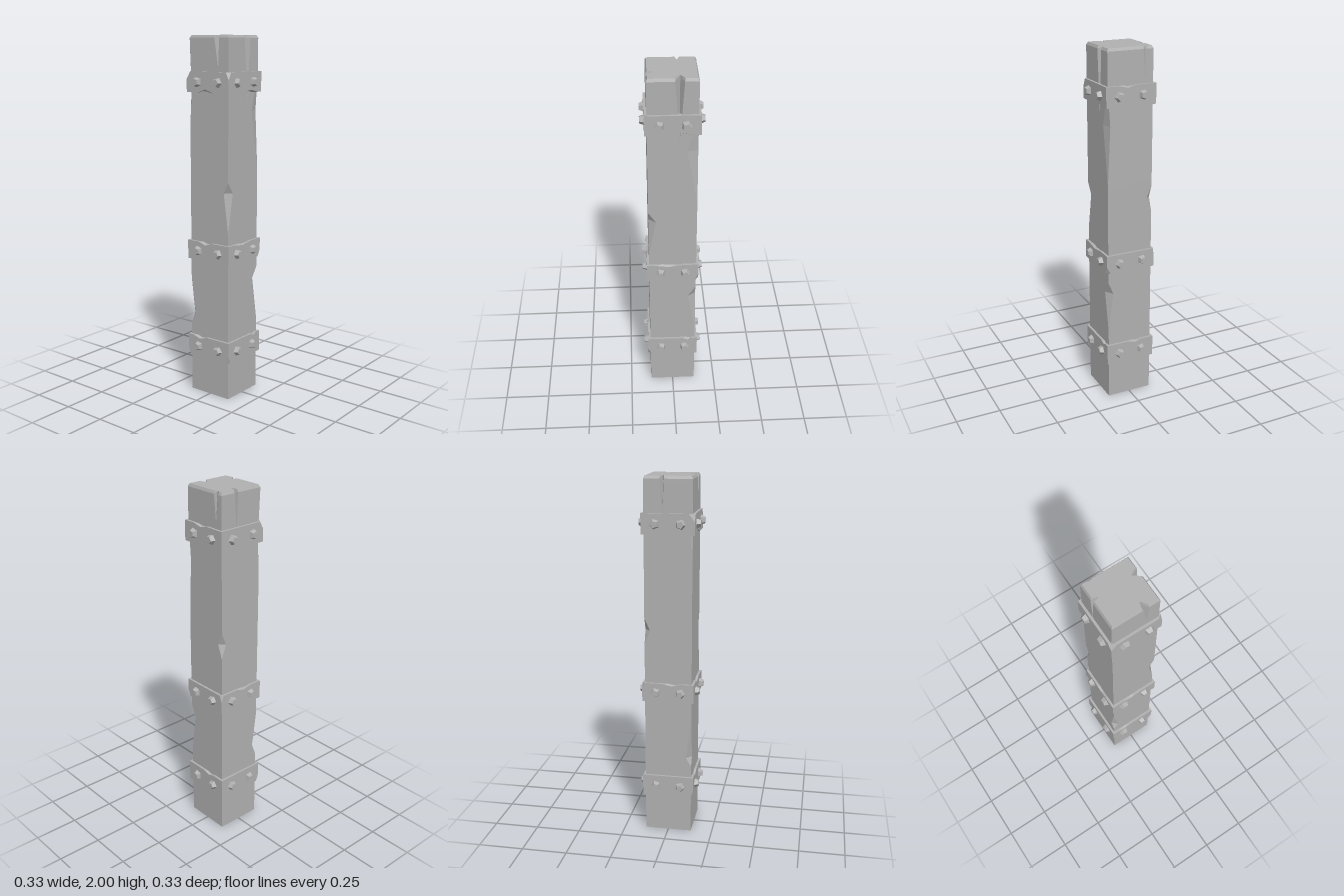
import * as THREE from 'three';

const HALF = 0.13, BAND = 0.143;

// Face k of the square (0 front, 1 +x, 2 back, 3 -x): u runs along it, n points out
const place = (k, u, n, y) => new THREE.Vector3(
  [u, n, -u, -n][k], y, [n, -u, -n, u][k]);

// Corner chips: corner after face k, low / deepest / high y, cut on face k, cut on the next face
const chips = [
  [0, 0.95, 1.17, 1.23, 0.03, 0.04],
  [1, 0.42, 0.65, 0.72, 0.045, 0.03],
  [1, 1.28, 1.6, 1.82, 0.055, 0.015],
  [2, 1.1, 1.18, 1.25, 0.03, 0.03],
  [3, 0.4, 0.45, 0.67, 0.03, 0.03],
  [3, 1.53, 1.72, 1.97, 0.012, 0.012],
];

// One split in the top of each face: mouth from / to, tip, depth, lower end
const cracks = [
  { a: 0.035, b: 0.07, tip: 0.043, depth: 0.042, y: 1.83, u: 0.063 },
  { a: 0.01, b: 0.06, tip: 0.038, depth: 0.045, y: 1.66, u: 0.035 },
  { a: 0.07, b: 0.105, tip: 0.088, depth: 0.012, y: 1.84, u: 0.088 },
  { a: -0.045, b: -0.02, tip: -0.03, depth: 0.04, y: 1.79, u: -0.03 },
];

// Bands: nicks are [face, top edge?, u, half width, depth]; corners are [corner, top edge?, size]
const bands = [
  { y0: 0.215, y1: 0.335,
    nicks: [[0, 1, -0.06, 0.05, 0.016], [1, 1, 0.09, 0.03, 0.012], [2, 1, 0.03, 0.04, 0.012]],
    corners: [[0, 0, 0.018], [3, 0, 0.015]] },
  { y0: 0.78, y1: 0.885,
    nicks: [[0, 1, -0.02, 0.045, 0.016], [1, 1, -0.02, 0.08, 0.012], [3, 1, 0.02, 0.05, 0.012]],
    corners: [[1, 0, 0.02], [2, 1, 0.015]] },
  { y0: 1.7, y1: 1.81,
    nicks: [[0, 0, -0.015, 0.05, 0.018], [1, 0, 0.05, 0.08, 0.014], [2, 1, -0.02, 0.05, 0.012]],
    corners: [[0, 1, 0.02], [3, 1, 0.03]] },
];

// Joins matching rings of points into faceted walls, with fan caps or as a closed loop
function loft(rings, capped) {
  const pos = [];
  const tri = (a, b, c) => {
    const area = b.clone().sub(a).cross(c.clone().sub(a)).length();
    if (area > 1e-9) for (const p of [a, b, c]) pos.push(p.x, p.y, p.z);
  };
  const count = rings[0].length;
  const walls = capped ? rings.length - 1 : rings.length;
  for (let r = 0; r < walls; r++) {
    const lo = rings[r], hi = rings[(r + 1) % rings.length];
    for (let i = 0; i < count; i++) {
      const j = (i + 1) % count;
      tri(lo[i], lo[j], hi[j]);
      tri(lo[i], hi[j], hi[i]);
    }
  }
  if (capped) {
    const bottom = rings[0], top = rings[rings.length - 1];
    const cb = new THREE.Vector3(0, bottom[0].y, 0), ct = new THREE.Vector3(0, top[0].y, 0);
    for (let i = 0; i < count; i++) {
      const j = (i + 1) % count;
      tri(cb, bottom[j], bottom[i]);
      tri(ct, top[i], top[j]);
    }
  }
  const g = new THREE.BufferGeometry();
  g.setAttribute('position', new THREE.Float32BufferAttribute(pos, 3));
  g.computeVertexNormals();
  return g;
}

// Cross-section of the post at height y
function postRing(y) {
  const half = y > 1.985 ? HALF - 0.007 * (y - 1.985) / 0.015 : HALF;
  const cut = (k, side) => {
    let c = 0;
    for (const [corner, lo, mid, hi, a, b] of chips) {
      if (corner !== k || y <= lo || y >= hi) continue;
      c += (side ? b : a) * (y < mid ? (y - lo) / (mid - lo) : (hi - y) / (hi - mid));
    }
    return c;
  };
  const ring = [];
  for (let k = 0; k < 4; k++) {
    const s = cracks[k];
    const t = Math.max(0, (y - s.y) / (2 - s.y));
    const at = (u) => s.u + (u - s.u) * t;
    ring.push(
      place(k, -half + cut((k + 3) % 4, 1), half, y),
      place(k, at(s.a), half, y),
      place(k, at(s.tip), Math.min(half, HALF - s.depth * t), y),
      place(k, at(s.b), half, y),
      place(k, half - cut(k, 0), half, y));
  }
  return ring;
}

function postGeometry() {
  const levels = new Set([0, 1.985, 2]);
  chips.forEach((c) => [c[1], c[2], c[3]].forEach((y) => levels.add(y)));
  cracks.forEach((c) => levels.add(c.y));
  return loft([...levels].sort((a, b) => a - b).map(postRing), true);
}

// Square collar with nicked edges and chipped corners
function bandGeometry({ y0, y1, nicks, corners }) {
  const ring = (y, half, edge) => {
    const pts = [];
    const inset = (k) => (corners.find((c) => c[0] === k && c[1] === edge) || [0, 0, 0])[2];
    for (let k = 0; k < 4; k++) {
      const own = nicks.find((n) => n[0] === k) || [k, -1, 0, 0.04, 0];
      const [, where, u, w, d] = own;
      const dip = where === edge ? (edge ? -d : d) : 0;
      const fit = (v) => THREE.MathUtils.clamp(v, -0.11, 0.11);
      pts.push(
        place(k, -half + inset((k + 3) % 4), half, y),
        place(k, fit(u - w), half, y),
        place(k, u, half, y + dip),
        place(k, fit(u + w), half, y),
        place(k, half - inset(k), half, y));
    }
    return pts;
  };
  return loft([
    ring(y0, BAND, 0), ring(y0 + 0.04, BAND, -2), ring(y1 - 0.04, BAND, -2),
    ring(y1, BAND, 1), ring(y1, 0.12, -2), ring(y0, 0.12, -2),
  ], false);
}

export function createModel() {
  const model = new THREE.Group();
  model.name = 'bandedPost';
  const stone = new THREE.MeshStandardMaterial({ color: 0xb0b0b0, flatShading: true });
  stone.name = 'grey';
  const add = (parent, geometry, name) => {
    const mesh = new THREE.Mesh(geometry, stone);
    mesh.name = name;
    parent.add(mesh);
    return mesh;
  };

  add(model, postGeometry(), 'post');

  // Five-sided tapered stud pointing along +z
  const stud = new THREE.CylinderGeometry(0.019, 0.031, 0.03, 5);
  stud.rotateX(Math.PI / 2);

  bands.forEach((band) => {
    const group = new THREE.Group();
    group.name = 'bandGroup';
    model.add(group);
    add(group, bandGeometry(band), 'band');
    for (let k = 0; k < 4; k++) {
      for (const side of [-1, 1]) {
        const mesh = add(group, stud, 'stud');
        mesh.position.copy(place(k, side * 0.069, 0.151, (band.y0 + band.y1) / 2));
        mesh.rotation.set(0, k * Math.PI / 2, side * 0.25, 'YXZ');
      }
    }
  });
  return model;
}
